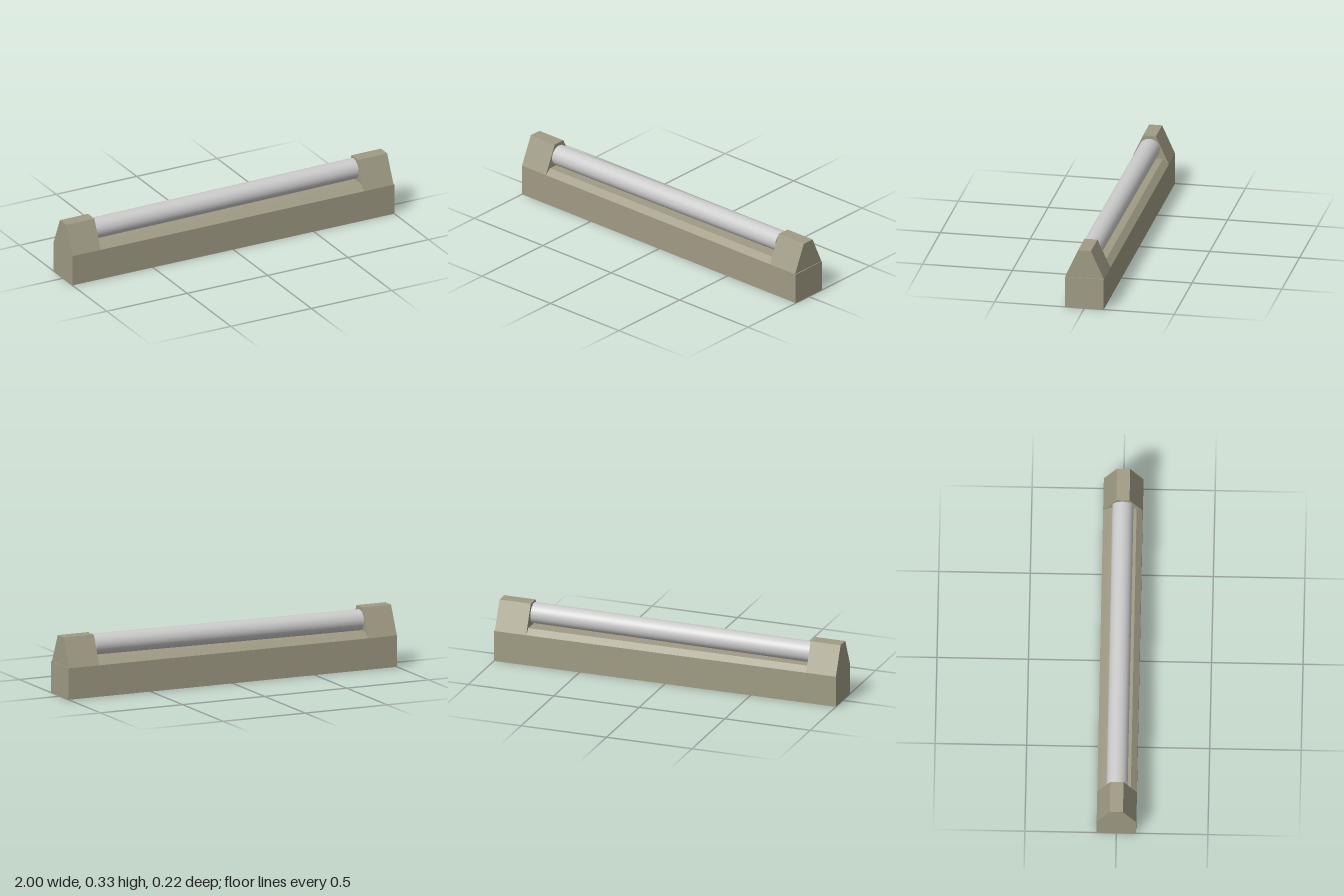
import * as THREE from 'three';

export function createModel() {
  const group = new THREE.Group();
  group.name = 'tubeLight';
  const housing = new THREE.MeshStandardMaterial({ color: 0x9f9b84 });
  const glass = new THREE.MeshStandardMaterial({ color: 0xcccccc });
  const baseTop = 0.175, halfDepth = 0.108;

  // Symmetric trapezoid in the z-y plane, extruded along x from x0 to x1
  function ridge(name, x0, x1, topHalf, topY) {
    const shape = new THREE.Shape([
      new THREE.Vector2(-halfDepth, baseTop),
      new THREE.Vector2(halfDepth, baseTop),
      new THREE.Vector2(topHalf, topY),
      new THREE.Vector2(-topHalf, topY),
    ]);
    const geo = new THREE.ExtrudeGeometry(shape, { depth: x1 - x0, bevelEnabled: false });
    geo.rotateY(Math.PI / 2).translate(x0, 0, 0);
    const mesh = new THREE.Mesh(geo, housing);
    mesh.name = name;
    group.add(mesh);
  }

  // Long housing box
  const base = new THREE.Mesh(new THREE.BoxGeometry(2, baseTop, halfDepth * 2), housing);
  base.name = 'base';
  base.position.y = baseTop / 2;
  group.add(base);

  // Low chamfered deck between two tall end holders
  ridge('deck', -0.825, 0.812, 0.075, 0.205);
  ridge('rightHolder', -1, -0.825, 0.036, 0.334);
  ridge('leftHolder', 0.812, 0.995, 0.036, 0.334);

  // Lamp tube, sloping up slightly towards +x
  const start = new THREE.Vector3(-0.825, 0.259, 0);
  const end = new THREE.Vector3(0.806, 0.272, 0);
  const axis = end.clone().sub(start);
  const tube = new THREE.Mesh(new THREE.CylinderGeometry(0.058, 0.058, axis.length(), 32), glass);
  tube.name = 'lampTube';
  tube.position.copy(start).add(end).multiplyScalar(0.5);
  tube.quaternion.setFromUnitVectors(new THREE.Vector3(0, 1, 0), axis.normalize());
  group.add(tube);

  return group;
}
